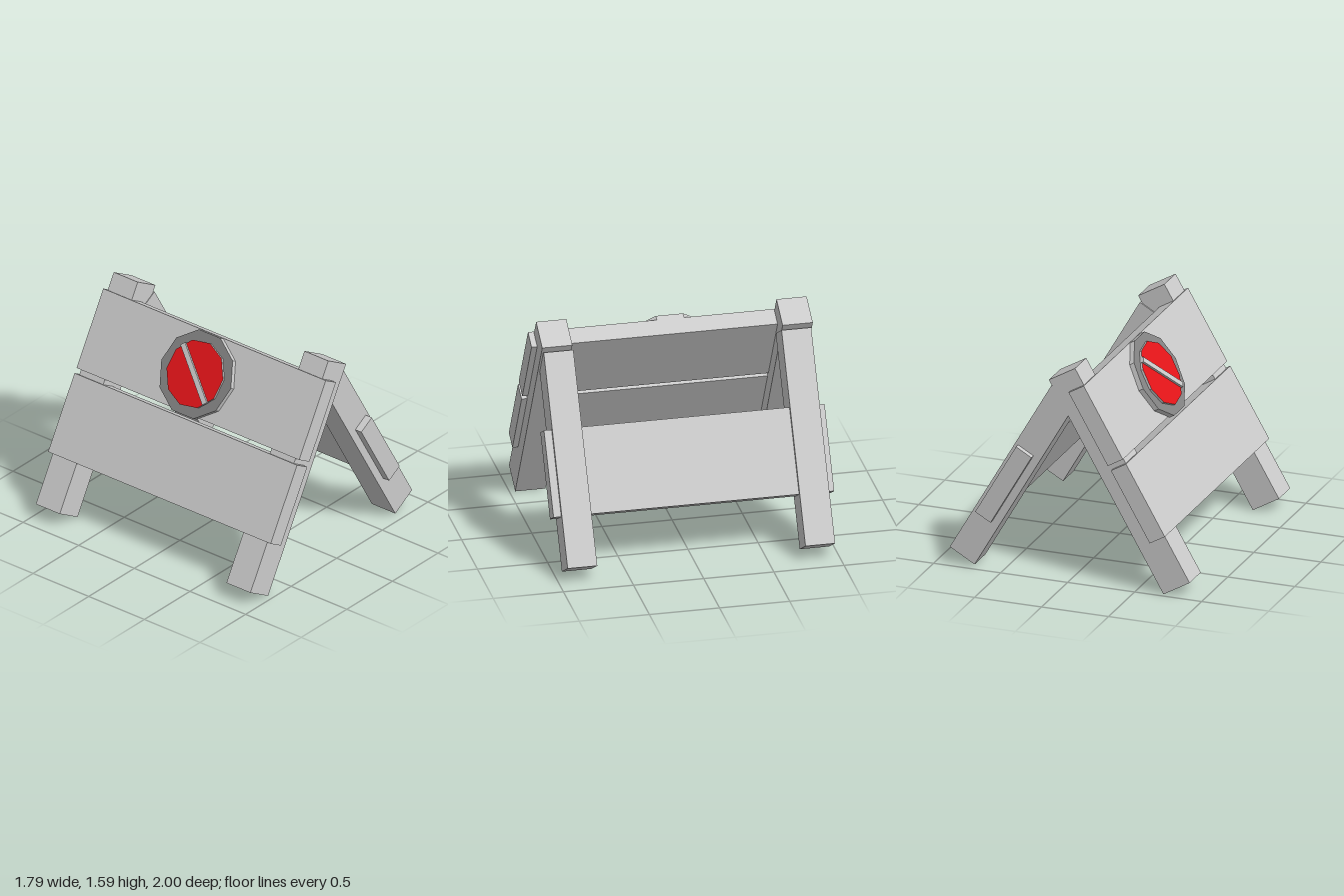
import * as THREE from 'three';

const grey = new THREE.MeshStandardMaterial({ color: 0xcccccc, flatShading: true });
const darkGrey = new THREE.MeshStandardMaterial({ color: 0x848484 });
const red = new THREE.MeshStandardMaterial({ color: 0xe61519 });
const LEAN = Math.PI / 6;

function add(parent, name, geometry, material = grey) {
  const mesh = new THREE.Mesh(geometry, material);
  mesh.name = name;
  parent.add(mesh);
  return mesh;
}

// Box centred at (x, y, z) and leaning by the given angle in the front plane
function beam(parent, name, [w, h, d], [x, y, z], lean) {
  const mesh = add(parent, name, new THREE.BoxGeometry(w, h, d));
  mesh.position.set(x, y, z);
  mesh.rotation.z = lean;
}

// Ten-sided plate facing +z: grey side wall and a coloured face
function plate(parent, name, radius, back, front, faceMaterial) {
  const group = new THREE.Group();
  group.name = name;
  const wall = new THREE.CylinderGeometry(radius, radius, front - back, 10, 1, true);
  wall.rotateY(Math.PI / 2).rotateX(Math.PI / 2).translate(0, 0, (front + back) / 2);
  add(group, name + 'Edge', wall);
  const face = new THREE.CircleGeometry(radius, 10).translate(0, 0, front);
  add(group, name + 'Face', face, faceMaterial);
  parent.add(group);
  return group;
}

export function createModel() {
  const model = new THREE.Group();
  model.name = 'barricade';

  // Legs: the sign-side pair runs past the top of the shorter pair
  for (const z of [0.852, -0.861])
    beam(model, 'signSideLeg', [0.225, 1.71, 0.215], [-0.373, 0.798, z], -LEAN);
  for (const z of [0.84, -0.855])
    beam(model, 'braceLeg', [0.213, 1.515, 0.211], [0.423, 0.729, z], LEAN);

  // Planks across the legs
  beam(model, 'upperPlank', [0.13, 0.585, 2], [-0.21, 1.2, 0], -LEAN);
  beam(model, 'lowerPlank', [0.13, 0.58, 2], [-0.524, 0.664, 0], -LEAN);
  beam(model, 'bracePlank', [0.132, 0.611, 2], [0.48, 0.6625, 0], LEAN);

  // Round sign on the outer face of the upper plank
  const mount = new THREE.Group();
  mount.name = 'signMount';
  mount.position.set(-0.21, 1.2, -0.016);
  mount.rotation.z = -LEAN;
  model.add(mount);

  const sign = new THREE.Group();
  sign.name = 'sign';
  sign.position.y = -0.008;
  sign.rotation.y = -Math.PI / 2;
  mount.add(sign);

  plate(sign, 'signRim', 0.3125, 0.06, 0.102, darkGrey);
  const disc = plate(sign, 'signDisc', 0.241, 0.1, 0.119, red);
  disc.rotation.z = Math.PI / 4;
  // Diagonal bar across the disc
  add(disc, 'signBar', new THREE.BoxGeometry(0.04, 0.47, 0.022)).position.z = 0.124;

  return model;
}
